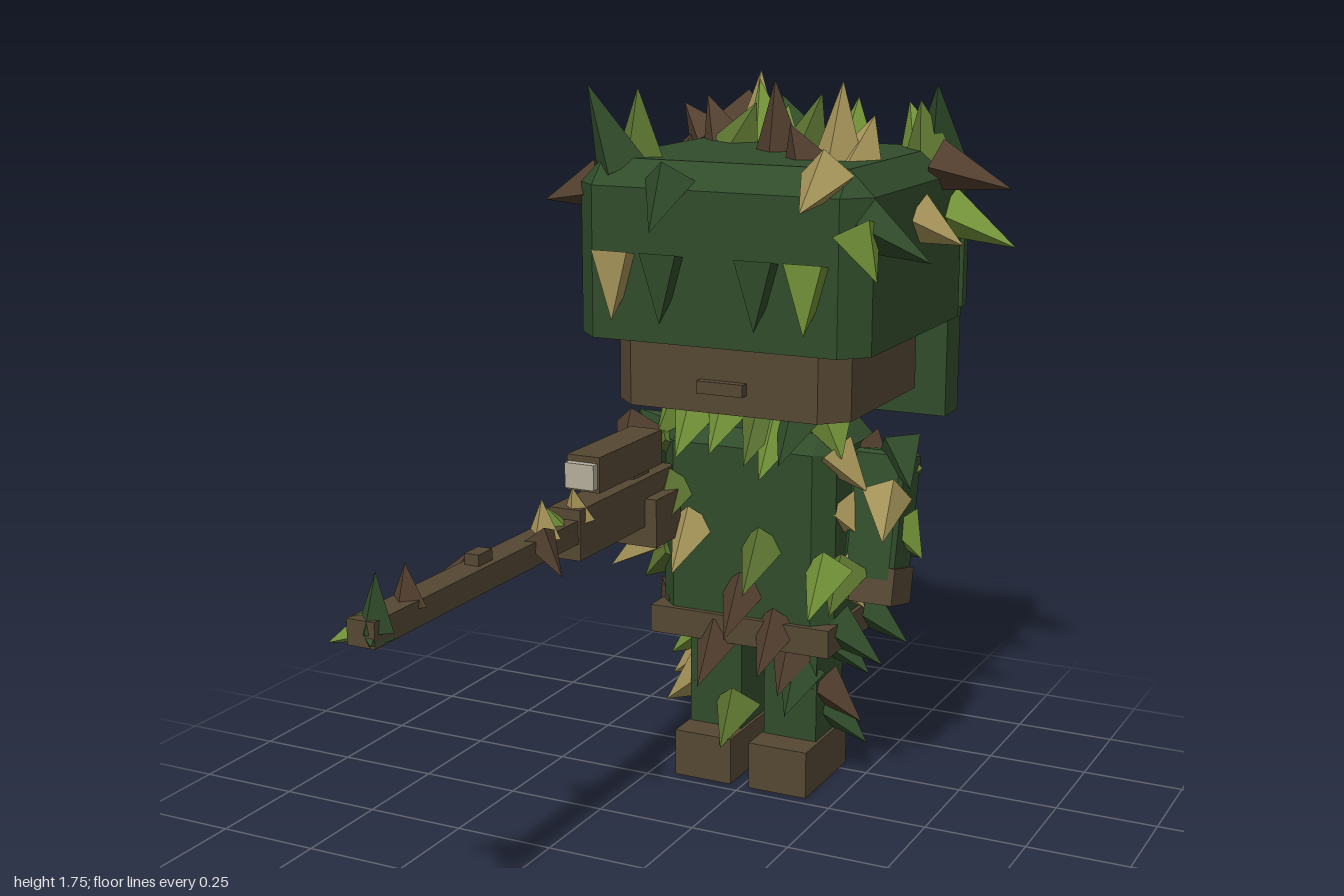
import * as THREE from 'three';
import { ConvexGeometry } from 'three/addons/geometries/ConvexGeometry.js';

const mat = (name, color) => {
  const m = new THREE.MeshStandardMaterial({ color });
  m.name = name;
  m.flatShading = true;
  return m;
};

export function createModel() {
  const green = mat('cloth green', 0x314c2b);
  const brown = mat('brown', 0x554733);
  const bark = mat('dark brown leaf', 0x523f2f);
  const olive = mat('olive leaf', 0x5d7531);
  const lime = mat('lime leaf', 0x75953a);
  const tan = mat('straw leaf', 0xa8965a);
  const grey = mat('pale lens', 0xb5ae9c);
  const tones = { g: green, b: bark, o: olive, l: lime, t: tan };

  const root = new THREE.Group();
  root.name = 'leafCamouflagedFigure';
  const group = (name) => {
    const g = new THREE.Group();
    g.name = name;
    root.add(g);
    return g;
  };
  const add = (parent, name, geometry, material) => {
    const m = new THREE.Mesh(geometry, material);
    m.name = name;
    parent.add(m);
    return m;
  };
  // Box from its limits on each axis
  const box = (parent, name, material, x0, x1, y0, y1, z0, z1) => {
    const m = add(parent, name, new THREE.BoxGeometry(x1 - x0, y1 - y0, z1 - z0), material);
    m.position.set((x0 + x1) / 2, (y0 + y1) / 2, (z0 + z1) / 2);
    return m;
  };
  // Box with bevelled upright edges and, if wanted, a bevelled top
  const bevelBox = (parent, name, material, x0, x1, y0, y1, z0, z1, b, top = true) => {
    const cx = (x0 + x1) / 2, cz = (z0 + z1) / 2, hx = (x1 - x0) / 2, hz = (z1 - z0) / 2;
    const pts = [];
    for (const sx of [-1, 1]) for (const sz of [-1, 1]) {
      for (const y of [y0, top ? y1 - b : y1]) {
        pts.push(new THREE.Vector3(cx + sx * hx, y, cz + sz * (hz - b)));
        pts.push(new THREE.Vector3(cx + sx * (hx - b), y, cz + sz * hz));
      }
      if (top) pts.push(new THREE.Vector3(cx + sx * (hx - b), y1, cz + sz * (hz - b)));
    }
    return add(parent, name, new ConvexGeometry(pts), material);
  };
  // Four-sided pointed leaf from a base point to a tip point
  const cone = new THREE.ConeGeometry(1, 1, 4).translate(0, 0.5, 0);
  const up = new THREE.Vector3(0, 1, 0);
  const leaf = (parent, tone, base, tip, r = 0.064, roll = 0) => {
    const a = new THREE.Vector3(...base), d = new THREE.Vector3(...tip).sub(a);
    const m = add(parent, 'leaf', cone, tones[tone]);
    m.position.copy(a);
    m.scale.set(r, d.length(), r);
    m.quaternion.setFromUnitVectors(up, d.normalize());
    m.rotateY(roll);
  };

  // Legs and boots
  const legs = group('legs');
  for (const [x0, x1] of [[-0.185, -0.03], [0.02, 0.175]]) {
    box(legs, 'boot', brown, x0, x1, 0, 0.12, -0.545, -0.28);
    box(legs, 'leg', green, x0 + 0.005, x1 - 0.008, 0.12, 0.42, -0.53, -0.36);
  }

  // Torso, belt and neck
  const torso = group('torso');
  bevelBox(torso, 'jacket', green, -0.235, 0.225, 0.42, 0.92, -0.61, -0.28, 0.045);
  box(torso, 'belt', brown, -0.245, 0.235, 0.38, 0.45, -0.62, -0.265);
  box(torso, 'neck', green, -0.14, 0.13, 0.9, 1.0, -0.56, -0.32);

  // Head, hood and neck guard
  const head = group('head');
  bevelBox(head, 'face', brown, -0.31, 0.295, 0.98, 1.3, -0.72, -0.175, 0.06, false);
  box(head, 'mouth', brown, -0.065, 0.055, 1.03, 1.06, -0.2, -0.152);
  bevelBox(head, 'hood', green, -0.376, 0.367, 1.15, 1.57, -0.822, -0.11, 0.06);
  box(head, 'neckGuard', green, -0.366, 0.355, 0.9, 1.18, -0.815, -0.72);
  box(head, 'rearPanel', green, -0.366, 0.355, 1.15, 1.5, -0.82, -0.76);
  for (const x of [-0.374, 0.365])
    box(head, 'sideRidge', green, x - 0.006, x + 0.006, 1.17, 1.41, -0.81, -0.78);

  // Arm at the side, with its hand
  const leftArm = group('leftArm');
  leftArm.position.set(0.31, 0.69, -0.42);
  leftArm.rotation.x = -0.22;
  bevelBox(leftArm, 'sleeve', green, -0.07, 0.06, -0.13, 0.18, -0.065, 0.065, 0.01);
  box(leftArm, 'hand', brown, -0.045, 0.065, -0.19, -0.1, -0.07, 0.065);

  // Arm reaching forward to the rifle
  const rightArm = group('rightArm');
  const sleeve = box(rightArm, 'sleeve', green, -0.36, -0.23, 0.72, 0.85, -0.5, -0.2);
  sleeve.rotation.x = 0.35;
  box(rightArm, 'hand', brown, -0.305, -0.165, 0.64, 0.76, -0.27, -0.14);

  // Rifle
  const rifle = group('rifle');
  box(rifle, 'stock', brown, -0.275, -0.195, 0.69, 0.81, -0.3, 0.18);
  box(rifle, 'barrel', brown, -0.265, -0.2, 0.73, 0.785, 0.18, 0.985);
  box(rifle, 'frontSight', brown, -0.25, -0.215, 0.785, 0.81, 0.525, 0.58);
  box(rifle, 'scope', brown, -0.275, -0.19, 0.83, 0.915, -0.22, 0.095);
  box(rifle, 'scopeMount', brown, -0.25, -0.215, 0.8, 0.84, -0.2, -0.12);
  box(rifle, 'scopeLens', grey, -0.27, -0.195, 0.84, 0.9, 0.095, 0.115);

  // Upright leaves on the hood: base x, base z, tip x, tip z, tip height
  const crown = group('crownLeaves');
  for (const [c, x, z, tx, tz, ty] of [
    ['g', -0.28, -0.19, -0.34, -0.14, 1.74], ['o', -0.25, -0.23, -0.25, -0.22, 1.73],
    ['t', -0.2, -0.79, -0.2, -0.81, 1.74], ['b', -0.25, -0.7, -0.31, -0.72, 1.68],
    ['l', -0.15, -0.74, -0.19, -0.78, 1.72], ['o', -0.2, -0.66, -0.14, -0.65, 1.67],
    ['t', -0.14, -0.79, -0.12, -0.84, 1.65], ['g', 0.0, -0.65, -0.08, -0.67, 1.69],
    ['b', -0.01, -0.5, -0.01, -0.47, 1.74], ['o', 0.04, -0.53, 0.1, -0.5, 1.71],
    ['l', -0.04, -0.56, -0.04, -0.62, 1.67], ['l', 0.17, -0.52, 0.17, -0.56, 1.7],
    ['b', 0.13, -0.35, 0.1, -0.31, 1.65], ['t', 0.2, -0.36, 0.21, -0.36, 1.75],
    ['t', 0.24, -0.38, 0.27, -0.41, 1.67], ['o', 0.31, -0.68, 0.29, -0.66, 1.69],
    ['g', 0.32, -0.73, 0.34, -0.64, 1.73], ['b', -0.33, -0.78, -0.42, -0.81, 1.65],
    ['l', 0.28, -0.72, 0.24, -0.72, 1.68],
  ]) leaf(crown, c, [x, 1.55, z], [tx, ty, tz], 0.068);

  // Leaves standing out from the hood sides, front and back: base, then tip
  const brim = group('hoodLeaves');
  for (const [c, ...p] of [
    ['b', -0.36, 1.52, -0.76, -0.54, 1.45, -0.8], ['g', -0.36, 1.47, -0.62, -0.49, 1.38, -0.62],
    ['t', -0.36, 1.41, -0.42, -0.5, 1.31, -0.4], ['b', -0.34, 1.5, -0.21, -0.48, 1.46, -0.18],
    ['l', -0.36, 1.49, -0.64, -0.49, 1.4, -0.6], ['l', 0.35, 1.42, -0.7, 0.53, 1.34, -0.7],
    ['b', 0.35, 1.54, -0.62, 0.54, 1.49, -0.62], ['t', 0.35, 1.43, -0.47, 0.47, 1.37, -0.48],
    ['g', 0.34, 1.45, -0.16, 0.5, 1.37, -0.18], ['l', 0.34, 1.44, -0.13, 0.4, 1.33, -0.11],
    ['t', 0.27, 1.56, -0.13, 0.27, 1.49, 0.03], ['g', -0.12, 1.53, -0.13, -0.12, 1.42, -0.02],
  ]) leaf(brim, c, p.slice(0, 3), p.slice(3));
  for (const [c, x, tx, ty, tz] of [
    ['g', -0.31, -0.36, 1.4, -0.96], ['g', -0.19, -0.21, 1.36, -0.92],
    ['l', -0.11, -0.1, 1.33, -0.98], ['t', -0.07, -0.07, 1.45, -0.93],
    ['g', 0.03, 0.03, 1.38, -0.96], ['l', 0.26, 0.26, 1.31, -0.99], ['b', -0.25, -0.25, 1.56, -0.95],
  ]) leaf(brim, c, [x, ty + 0.07, -0.815], [tx, ty, tz]);
  // Hanging leaves over the eyes
  for (const [c, x] of [['t', -0.25], ['g', -0.125], ['g', 0.115], ['l', 0.237]])
    leaf(brim, c, [x, 1.355, -0.115], [x, 1.2, -0.08], 0.066, Math.PI / 4);

  // Drooping leaves: place on a surface, outward direction n, length out and down
  const droop = (parent, c, x, y, z, nx, nz, out = 0.1, fall = 0.09) =>
    leaf(parent, c, [x - nx * 0.01, y + 0.04, z - nz * 0.01],
      [x + nx * out, y + 0.04 - fall, z + nz * out], 0.062);

  // Front of the jacket and belt
  const body = group('bodyLeaves');
  for (const [c, x, y] of [
    ['l', -0.13, 0.92], ['l', -0.04, 0.94], ['o', 0.05, 0.92], ['l', 0.09, 0.89], ['g', 0.14, 0.93],
    ['t', -0.14, 0.63], ['o', -0.19, 0.72], ['o', 0.05, 0.6], ['b', 0, 0.48], ['b', 0.09, 0.4],
    ['b', -0.07, 0.35], ['l', 0.22, 0.56],
  ]) droop(body, c, x, y, -0.29, 0, 1, 0.12, 0.1);
  // Back and flanks, in staggered rows
  const cycle = ['g', 'l', 'b', 'o', 'g', 't', 'b'];
  let k = 0;
  [0.87, 0.73, 0.58].forEach((y, row) => {
    const s = (row % 2) * 0.07;
    for (let i = 0; i < 3; i++)
      droop(body, cycle[k++ % 7], -0.18 + i * 0.14 + s, y + 0.03 * (i % 2), -0.6, 0, -1, 0.15, 0.08);
    for (const side of [-1, 1])
      for (const z of [-0.34, -0.52])
        droop(body, cycle[k++ % 7], side * 0.22, y + z * 0.1, z - s * 0.5, side, 0, 0.08);
  });
  // Collar leaves
  for (const side of [-1, 1])
    droop(body, 'l', side * 0.2, 0.92, -0.34, side * 0.6, 0.5, 0.08);
  // Belt leaves
  for (const x of [-0.18, -0.06, 0.06, 0.17])
    droop(body, x === 0.06 ? 'g' : 'b', x, 0.4, -0.61, 0, -1, 0.14);
  for (const z of [-0.36, -0.54]) {
    droop(body, 'b', -0.22, 0.42, z, -1, 0, 0.05);
    droop(body, 'g', 0.22, 0.4, z, 1, 0, 0.12);
  }

  // Leg leaves
  const legLeaves = group('legLeaves');
  for (const [c, x, y, z, nx, nz] of [
    ['t', -0.18, 0.19, -0.42, -1, 0], ['t', -0.18, 0.25, -0.46, -1, 0], ['l', -0.18, 0.31, -0.45, -1, 0],
    ['o', -0.05, 0.15, -0.36, 0, 1], ['g', 0.12, 0.26, -0.37, 0, 1], ['b', 0.1, 0.31, -0.37, 0, 1],
    ['g', 0.165, 0.15, -0.46, 1, 0], ['b', 0.165, 0.22, -0.42, 1, 0], ['g', 0.165, 0.33, -0.47, 1, 0],
    ['o', -0.12, 0.15, -0.53, 0, -1], ['b', -0.1, 0.28, -0.53, 0, -1],
    ['g', 0.1, 0.14, -0.53, 0, -1], ['g', 0.1, 0.27, -0.53, 0, -1],
  ]) droop(legLeaves, c, x, y, z, nx, nz);

  // Arm leaves
  const armLeaves = group('armLeaves');
  for (const [c, x, y, z, nx, nz] of [
    ['g', 0.35, 0.85, -0.42, 0.5, 0.6], ['t', 0.34, 0.74, -0.36, 0.3, 1], ['l', 0.35, 0.66, -0.43, 0.6, 0],
    ['o', 0.25, 0.55, -0.33, 0, 1], ['g', 0.34, 0.62, -0.47, 0.2, -1], ['o', 0.32, 0.78, -0.5, 0, -1],
    ['g', -0.3, 0.84, -0.4, -0.6, 0], ['b', -0.3, 0.86, -0.3, 0, 1], ['o', -0.33, 0.75, -0.3, -0.5, 0.3],
    ['t', -0.32, 0.77, -0.24, -0.6, 0.6], ['l', -0.32, 0.72, -0.38, -0.8, 0], ['t', -0.27, 0.58, -0.34, -1, 0.5],
    ['g', -0.32, 0.8, -0.5, 0, -1], ['t', -0.3, 0.7, -0.48, -0.3, -1],
  ]) droop(armLeaves, c, x, y, z, nx, nz);

  // Rifle leaves: base, then tip
  for (const [c, ...p] of [
    ['g', -0.22, 0.76, 0.95, -0.21, 0.88, 0.96], ['b', -0.23, 0.77, 0.82, -0.23, 0.86, 0.83],
    ['l', -0.25, 0.75, 0.9, -0.36, 0.7, 0.92], ['l', -0.24, 0.76, 0.95, -0.33, 0.74, 0.88],
    ['g', -0.23, 0.75, 0.94, -0.2, 0.74, 1], ['b', -0.26, 0.76, 0.55, -0.33, 0.75, 0.54],
    ['b', -0.21, 0.79, 0.34, -0.14, 0.71, 0.36], ['t', -0.23, 0.77, 0.28, -0.23, 0.86, 0.29],
    ['l', -0.24, 0.77, 0.22, -0.24, 0.83, 0.25], ['t', -0.22, 0.78, 0.14, -0.22, 0.86, 0.17],
  ]) leaf(rifle, c, p.slice(0, 3), p.slice(3), 0.042);

  return root;
}
